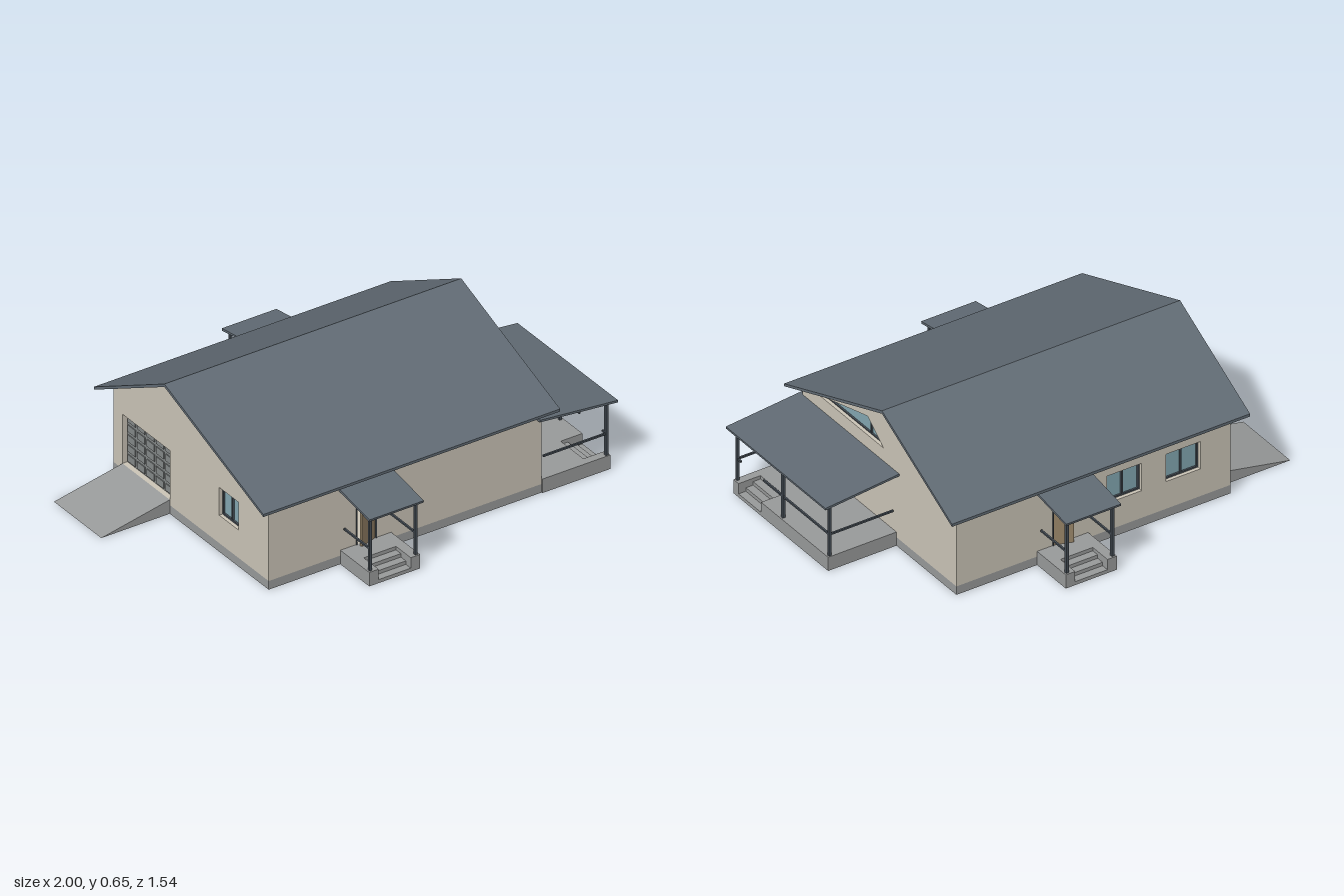
import * as THREE from 'three';

const mat = (name, color, side = THREE.FrontSide) => {
  const m = new THREE.MeshStandardMaterial({ color, side });
  m.name = name;
  return m;
};

export function createModel() {
  const M = {
    wall: mat('beige plaster', 0xccc6b8),
    concrete: mat('grey concrete', 0x999b9b),
    roof: mat('slate roof', 0x616b74),
    trim: mat('dark metal', 0x464e56),
    glass: mat('blue glass', 0x84a8b2),
    door: mat('brown door', 0x9a876a),
    garage: mat('grey garage door', 0x868a8a),
  };
  const WALL = 0.04, FLOOR = 0.065;
  const house = new THREE.Group();
  house.name = 'house';

  const add = (parent, name, geometry, material) => {
    const mesh = new THREE.Mesh(geometry, material);
    mesh.name = name;
    parent.add(mesh);
    return mesh;
  };
  // Box given by its limits on each axis
  const box = (parent, name, material, x0, x1, y0, y1, z0, z1) => {
    const mesh = add(parent, name, new THREE.BoxGeometry(x1 - x0, y1 - y0, z1 - z0), material);
    mesh.position.set((x0 + x1) / 2, (y0 + y1) / 2, (z0 + z1) / 2);
    return mesh;
  };
  const points = (list) => list.map(([x, y]) => new THREE.Vector2(x, y));
  const rect = (x0, x1, y0, y1) => [[x0, y0], [x1, y0], [x1, y1], [x0, y1]];
  const extrude = (outline, holes, depth) => {
    const shape = new THREE.Shape(points(outline));
    holes.forEach((h) => shape.holes.push(new THREE.Path(points(h))));
    return new THREE.ExtrudeGeometry(shape, { depth, bevelEnabled: false });
  };

  // Each side is a group whose local z = 0 is the outer wall face, +z outward
  const side = (name, angle, distance, outline, holes) => {
    const g = new THREE.Group();
    g.name = name;
    g.rotation.y = angle;
    g.position.set(Math.sin(angle) * distance, 0, Math.cos(angle) * distance);
    add(g, 'wall', extrude(outline, holes, WALL), M.wall).position.z = -WALL;
    house.add(g);
    return g;
  };

  // Recessed window with two panes
  const windowUnit = (g, u0, u1, y0, y1) => {
    const t = 0.007;
    box(g, 'windowGlass', M.glass, u0, u1, y0, y1, -0.03, -0.024);
    add(g, 'windowFrame', extrude(rect(u0, u1, y0, y1),
      [rect(u0 + t, u1 - t, y0 + t, y1 - t)], 0.012), M.trim).position.z = -0.028;
    const mid = (u0 + u1) / 2;
    box(g, 'windowMullion', M.trim, mid - t / 2, mid + t / 2, y0, y1, -0.028, -0.016);
  };

  // Door leaf standing slightly ajar in a dark frame
  const doorUnit = (g, u0, u1, hingeRight) => {
    const t = 0.006, top = 0.3, w = u1 - u0 - 2 * t;
    for (const u of [u0, u1 - t]) box(g, 'doorFrame', M.trim, u, u + t, FLOOR, top, -0.03, 0.004);
    box(g, 'doorFrame', M.trim, u0, u1, top - t, top, -0.03, 0.004);
    const pivot = new THREE.Group();
    pivot.name = 'door';
    pivot.position.set(hingeRight ? u1 - t : u0 + t, 0, -0.008);
    pivot.rotation.y = hingeRight ? 0.33 : -0.33;
    box(pivot, 'doorLeaf', M.door, hingeRight ? -w : 0, hingeRight ? 0 : w, FLOOR, top - t, -0.006, 0.006);
    g.add(pivot);
  };

  // Porch: deck with inset steps, posts, rails and a sloping roof
  const porch = (g, { u0, u1, depth, s0, s1, posts, roof, sideRails }) => {
    const run = 0.105, treads = 3;
    box(g, 'porchDeck', M.concrete, u0, u1, 0, FLOOR, 0, depth - run);
    box(g, 'porchCheek', M.concrete, u0, s0, 0, FLOOR, depth - run, depth);
    box(g, 'porchCheek', M.concrete, s1, u1, 0, FLOOR, depth - run, depth);
    for (let i = 0; i < treads; i++) {
      const z = depth - run + (i * run) / treads;
      box(g, 'porchStep', M.concrete, s0, s1, 0, FLOOR * (treads - i) / (treads + 1), z, z + run / treads);
    }
    const r = 0.006, zp = depth - 0.013;
    for (const u of posts) box(g, 'porchPost', M.trim, u - r, u + r, FLOOR, 0.318, zp - r, zp + r);
    const a = posts[0], b = posts[posts.length - 1], y0 = 0.161, y1 = 0.169;
    box(g, 'porchBeam', M.trim, a - r, b + r, 0.308, 0.318, zp - r, zp + r);
    for (const u of [a, b]) box(g, 'porchRail', M.trim, u - 0.004, u + 0.004, y0, y1, 0.01, zp);
    if (sideRails) {
      box(g, 'porchRail', M.trim, a, s0, y0, y1, zp - 0.004, zp + 0.004);
      box(g, 'porchRail', M.trim, s1, b, y0, y1, zp - 0.004, zp + 0.004);
    }
    const [r0, r1, z0, z1] = roof, drop = 0.036, thick = 0.01;
    const slab = box(g, 'porchRoof', M.roof, r0, r1, 0, thick, 0, Math.hypot(z1 - z0, drop));
    slab.position.set((r0 + r1) / 2, 0.332, (z0 + z1) / 2);
    slab.rotation.x = Math.atan2(drop, z1 - z0);
  };

  // Foundation ring and raised floor
  const ring = add(house, 'foundation', extrude(rect(-0.67, 0.645, -0.55, 0.55),
    [rect(-0.62, 0.595, -0.5, 0.5)], 0.04), M.concrete);
  ring.rotation.x = -Math.PI / 2;
  box(house, 'floor', M.wall, -0.632, 0.607, 0.04, FLOOR, -0.512, 0.512);

  // Main roof, with its ridge behind the middle
  const roofProfile = [[-0.6, 0.385], [-0.6, 0.397], [0.1, 0.652], [0.6, 0.385], [0.6, 0.372], [0.1, 0.638]];
  const roofGeo = extrude(roofProfile, [], 1.43);
  roofGeo.rotateY(Math.PI / 2);
  add(house, 'mainRoof', roofGeo, M.roof).position.x = -0.73;

  // Front wall and porch
  const frontDoor = [-0.25, -0.15];
  const front = side('frontSide', 0, 0.55, rect(-0.67 + WALL, 0.645 - WALL, 0.04, 0.4),
    [rect(...frontDoor, FLOOR, 0.3)]);
  doorUnit(front, ...frontDoor, true);
  porch(front, { u0: -0.325, u1: -0.08, depth: 0.205, s0: -0.28, s1: -0.125,
    posts: [-0.312, -0.093], roof: [-0.332, -0.07, 0, 0.216] });

  // Back wall, porch and windows
  const backDoor = [-0.185, -0.085];
  const backWindows = [[0.078, 0.243], [0.36, 0.525]];
  const back = side('backSide', Math.PI, 0.55, rect(-0.645 + WALL, 0.67 - WALL, 0.04, 0.392),
    [rect(...backDoor, FLOOR, 0.3), ...backWindows.map((w) => rect(...w, 0.17, 0.3))]);
  doorUnit(back, ...backDoor, false);
  backWindows.forEach((w) => windowUnit(back, ...w, 0.17, 0.3));
  porch(back, { u0: -0.258, u1: -0.013, depth: 0.205, s0: -0.213, s1: -0.058,
    posts: [-0.245, -0.026], roof: [-0.266, -0.003, 0, 0.22] });

  // Left gable with the large porch and a triangular attic window
  const gable = [[-0.55, 0.04], [0.55, 0.04], [0.55, 0.4], [0.1, 0.64], [-0.55, 0.404]];
  const attic = [[-0.43, 0.415], [0.03, 0.415], [-0.085, 0.505]];
  const leftDoor = [-0.485, -0.382];
  const left = side('leftSide', Math.PI / 2, 0.645, gable,
    [rect(...leftDoor, FLOOR, 0.3), rect(-0.315, -0.15, 0.17, 0.3), attic]);
  doorUnit(left, ...leftDoor, false);
  windowUnit(left, -0.315, -0.15, 0.17, 0.3);
  add(left, 'atticGlass', extrude(attic, [], 0.006), M.glass).position.z = -0.03;
  const inner = attic.map(([u, y]) => [-0.115 + (u + 0.115) * 0.9, 0.441 + (y - 0.441) * 0.84]);
  add(left, 'atticFrame', extrude(attic, [inner], 0.012), M.trim).position.z = -0.028;
  box(left, 'atticMullion', M.trim, -0.088, -0.082, 0.415, 0.503, -0.028, -0.016);
  porch(left, { u0: -0.555, u1: 0.122, depth: 0.328, s0: -0.518, s1: -0.357,
    posts: [-0.545, -0.218, 0.112], roof: [-0.57, 0.142, -0.022, 0.354], sideRails: true });

  // Right gable with garage door, ramp and window
  const garage = [-0.485, -0.15, FLOOR, 0.295];
  const right = side('rightSide', -Math.PI / 2, 0.67, gable.map(([u, y]) => [-u, y]).reverse(),
    [rect(...garage), rect(0.2, 0.335, 0.17, 0.3)]);
  windowUnit(right, 0.2, 0.335, 0.17, 0.3);
  box(right, 'garageDoor', M.garage, ...garage, -0.034, -0.024);
  const cols = 5, rows = 5, cw = 0.335 / cols, rh = 0.23 / rows;
  for (let i = 0; i < cols; i++) {
    for (let j = 0; j < rows; j++) {
      const u = garage[0] + i * cw, y = FLOOR + j * rh;
      box(right, 'garagePanel', M.garage, u + 0.007, u + cw - 0.007, y + 0.007, y + rh - 0.007, -0.024, -0.02);
    }
  }
  const rampGeo = extrude([[0, 0], [0.33, 0], [0, FLOOR]], [], 0.335);
  rampGeo.rotateY(-Math.PI / 2);
  add(right, 'garageRamp', rampGeo, M.concrete).position.x = -0.15;

  return house;
}
